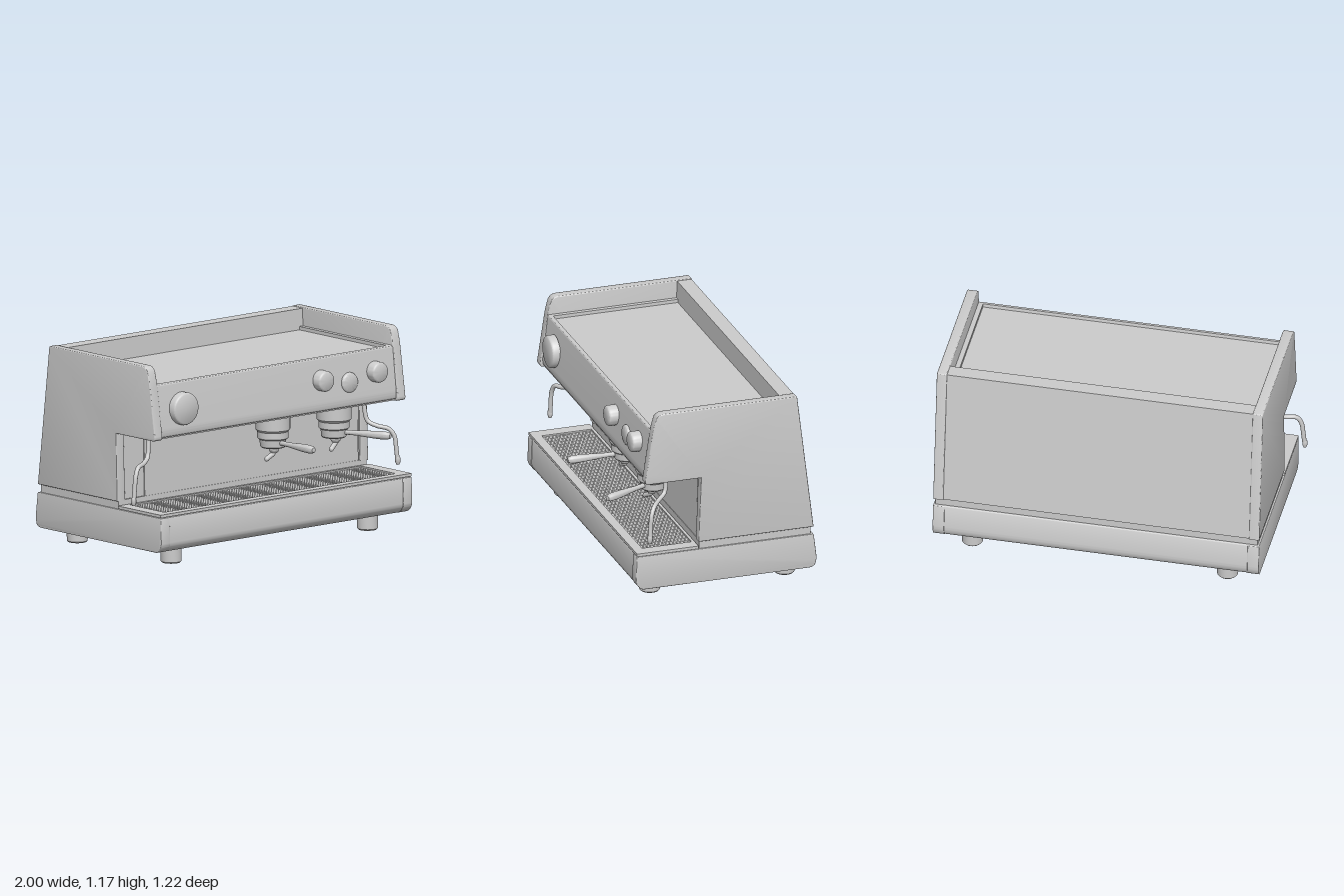
import * as THREE from 'three';
import { toCreasedNormals } from 'three/addons/utils/BufferGeometryUtils.js';

const LEFT = 0.995, RIGHT = -0.915, MID = 0.04, WALL = 0.06;
const material = new THREE.MeshStandardMaterial({ color: 0xcccccc });

function add(parent, name, geometry, x = 0, y = 0, z = 0) {
  const mesh = new THREE.Mesh(geometry, material);
  mesh.name = name;
  mesh.position.set(x, y, z);
  parent.add(mesh);
  return mesh;
}

function box(parent, name, x0, x1, y0, y1, z0, z1) {
  return add(parent, name, new THREE.BoxGeometry(x1 - x0, y1 - y0, z1 - z0),
    (x0 + x1) / 2, (y0 + y1) / 2, (z0 + z1) / 2);
}

// Closed outline from [z, y, cornerRadius] points
function outline(points) {
  const shape = new THREE.Shape();
  points.forEach(([px, py, r = 0], i) => {
    const p = new THREE.Vector2(px, py);
    const toward = ([qx, qy]) => new THREE.Vector2(qx, qy).sub(p).setLength(r).add(p);
    const a = toward(points[(i + points.length - 1) % points.length]);
    const b = toward(points[(i + 1) % points.length]);
    if (i) shape.lineTo(a.x, a.y); else shape.moveTo(a.x, a.y);
    if (r) shape.quadraticCurveTo(p.x, p.y, b.x, b.y);
  });
  shape.closePath();
  return shape;
}

// Side profile swept across x from x0 to x1
function sweep(points, x0, x1, bevel = 0) {
  const geometry = new THREE.ExtrudeGeometry(outline(points), {
    depth: x1 - x0 - 2 * bevel, curveSegments: 8, bevelEnabled: bevel > 0,
    bevelThickness: bevel, bevelSize: bevel, bevelOffset: -bevel, bevelSegments: 3,
  });
  geometry.rotateY(-Math.PI / 2).translate(x1 - bevel, 0, 0);
  return toCreasedNormals(geometry, 0.6);
}

function lathe(points, segments = 36) {
  const profile = points.map(([r, y]) => new THREE.Vector2(r, y));
  return toCreasedNormals(new THREE.LatheGeometry(profile, segments), 0.6);
}

function tube(points, radius) {
  const curve = new THREE.CatmullRomCurve3(points.map((p) => new THREE.Vector3(...p)));
  return new THREE.TubeGeometry(curve, 40, radius, 12);
}

function knob(parent, name, x, y, radius, depth) {
  const geometry = lathe([[0, 0], [radius, 0], [radius, depth - 0.014], [radius - 0.004, depth - 0.005],
    [radius - 0.012, depth], [0, depth]]);
  const mesh = add(parent, name, geometry, x, y, 0.42 - (y - 0.78) * 0.125 - 0.008);
  mesh.rotation.x = Math.PI / 2;
}

// Brewing head with a portafilter turned by the given angle
function brewGroup(parent, x, turn) {
  const group = new THREE.Group();
  group.name = 'brewGroup';
  group.position.set(x, 0, 0.25);
  group.rotation.y = turn;
  parent.add(group);
  add(group, 'brewHead', lathe([[0, 0.6], [0.083, 0.6], [0.09, 0.607], [0.09, 0.645], [0.1, 0.657],
    [0.1, 0.76], [0, 0.76]]));
  add(group, 'filterBasket', lathe([[0, 0.55], [0.066, 0.55], [0.073, 0.557], [0.078, 0.605], [0, 0.605]]));
  const handle = add(group, 'portafilterHandle', lathe([[0, 0.05], [0.014, 0.05], [0.014, 0.14],
    [0.017, 0.18], [0.022, 0.25], [0.024, 0.31], [0.022, 0.34], [0.014, 0.357], [0, 0.36]], 20), 0, 0.583, 0);
  handle.rotation.x = Math.PI / 2;
  add(group, 'spoutBoss', lathe([[0, 0.515], [0.02, 0.52], [0.03, 0.535], [0.03, 0.555], [0, 0.555]], 20), 0, 0, 0.01);
  const spout = add(group, 'spout', tube([[0, 0.545, 0.01], [-0.006, 0.515, 0.01], [-0.03, 0.502, 0.01],
    [-0.058, 0.488, 0.01]], 0.014));
  spout.material = material;
  const tip = add(group, 'spoutTip', new THREE.SphereGeometry(0.014, 12, 8), -0.058, 0.488, 0.01);
  tip.scale.set(0.7, 1, 1);
}

function steamWand(parent, name, points) {
  const wand = new THREE.Group();
  wand.name = name;
  parent.add(wand);
  add(wand, 'wandTube', tube(points, 0.013));
  const [x, y, z] = points[points.length - 1];
  add(wand, 'wandTip', lathe([[0, -0.012], [0.009, -0.012], [0.015, 0.004], [0.015, 0.025], [0.012, 0.035]], 16), x, y, z);
}

export function createModel() {
  const model = new THREE.Group();
  model.name = 'espressoMachine';

  // Side panels with the overhanging front
  const panel = [[0.432, 0.74, 0.025], [0.425, 0.79, 0.02], [0.378, 1.1, 0.05], [0.352, 1.166, 0.035],
    [-0.49, 1.166, 0.008], [-0.59, 0.345], [0.105, 0.345], [0.092, 0.74]];
  add(model, 'rightPanel', sweep(panel, RIGHT, RIGHT + WALL, 0.006));
  add(model, 'leftPanel', sweep(panel, LEFT - WALL, LEFT, 0.006));

  // Main housing: control fascia, cup tray and sloped back in one profile
  const x0 = RIGHT + WALL, x1 = LEFT - WALL;
  const housing = [[0.41, 0.75, 0.012], [0.416, 0.785, 0.02], [0.382, 1.06, 0.012], [0.36, 1.06], [0.357, 1.04],
    [-0.395, 1.04], [-0.4, 1.162], [-0.487, 1.162], [-0.586, 0.348], [0.09, 0.345], [0.083, 0.75]];
  add(model, 'housing', sweep(housing, x0 - 0.008, x1 + 0.008));
  box(model, 'rightTrayLedge', x0 - 0.005, x0 + 0.026, 1.035, 1.06, -0.397, 0.37);
  box(model, 'leftTrayLedge', x1 - 0.028, x1 + 0.005, 1.035, 1.06, -0.397, 0.37);
  box(model, 'fasciaLowerTrim', x0, x1, 0.744, 0.755, 0.09, 0.405);
  const splash = box(model, 'splashPlate', -0.70, 0.925, 0.347, 0.745, 0.083, 0.093);
  splash.rotation.x = -0.02;

  // Recessed neck and base with end caps
  box(model, 'neck', RIGHT + 0.012, LEFT - 0.012, 0.29, 0.35, -0.575, 0.1);
  const base = [[0.482, 0.3, 0.006], [0.488, 0.13, 0.03], [0.45, 0.095, 0.015],
    [-0.585, 0.095, 0.025], [-0.61, 0.135, 0.03], [-0.59, 0.3, 0.006]];
  const inner = base.map(([z, y, r]) => [z - Math.sign(z) * 0.003, y, r]);
  add(model, 'base', sweep(inner, x0 - 0.01, x1 + 0.01));
  add(model, 'rightBaseCap', sweep(base, RIGHT, x0 + 0.008, 0.004));
  add(model, 'leftBaseCap', sweep(base, x1 - 0.008, LEFT, 0.004));

  // Drip tray frame with an open grate
  const frame = outline([[RIGHT, -0.48], [LEFT, -0.48], [LEFT, -0.108], [RIGHT, -0.108]]);
  frame.holes.push(outline([[-0.84, -0.425], [-0.84, -0.125], [0.92, -0.125], [0.92, -0.425]]));
  const frameGeometry = new THREE.ExtrudeGeometry(frame, { depth: 0.017, bevelEnabled: false });
  add(model, 'dripTrayFrame', frameGeometry.rotateX(-Math.PI / 2), 0, 0.304, 0);
  const grate = new THREE.Group();
  grate.name = 'dripGrate';
  model.add(grate);
  for (let i = 0; i < 88; i++) {
    const x = -0.83 + i * 0.02;
    box(grate, 'grateSlat', x - 0.006, x + 0.006, 0.298, 0.313, 0.12, 0.43);
  }
  for (let i = 0; i < 15; i++) {
    const z = 0.135 + i * 0.02;
    box(grate, 'grateCrossbar', -0.845, 0.925, 0.298, 0.312, z - 0.006, z + 0.006);
  }

  // Gauge and control knobs
  knob(model, 'pressureGauge', -0.685, 0.905, 0.095, 0.05);
  knob(model, 'rightKnob', 0.375, 0.93, 0.06, 0.062);
  knob(model, 'centreKnob', 0.588, 0.89, 0.06, 0.02);
  knob(model, 'leftKnob', 0.785, 0.93, 0.06, 0.062);

  // Brewing groups and steam wands
  brewGroup(model, 0.14, 0);
  brewGroup(model, 0.605, 0.42);
  steamWand(model, 'rightSteamWand', [[-0.803, 0.76, 0.243], [-0.808, 0.69, 0.25], [-0.825, 0.615, 0.262],
    [-0.875, 0.588, 0.285], [-0.94, 0.575, 0.312], [-0.966, 0.53, 0.322], [-0.977, 0.45, 0.324], [-0.985, 0.375, 0.325]]);
  steamWand(model, 'leftSteamWand', [[0.832, 0.76, 0.243], [0.836, 0.69, 0.25], [0.848, 0.615, 0.265],
    [0.88, 0.588, 0.31], [0.93, 0.57, 0.355], [0.953, 0.53, 0.377], [0.96, 0.45, 0.387], [0.966, 0.375, 0.393]]);

  // Feet
  const foot = lathe([[0, 0], [0.052, 0], [0.06, 0.008], [0.061, 0.1], [0, 0.1]], 28);
  for (const side of [-1, 1]) {
    for (const z of [0.333, -0.482]) add(model, 'foot', foot, MID + side * 0.747, 0, z);
  }
  return model;
}
